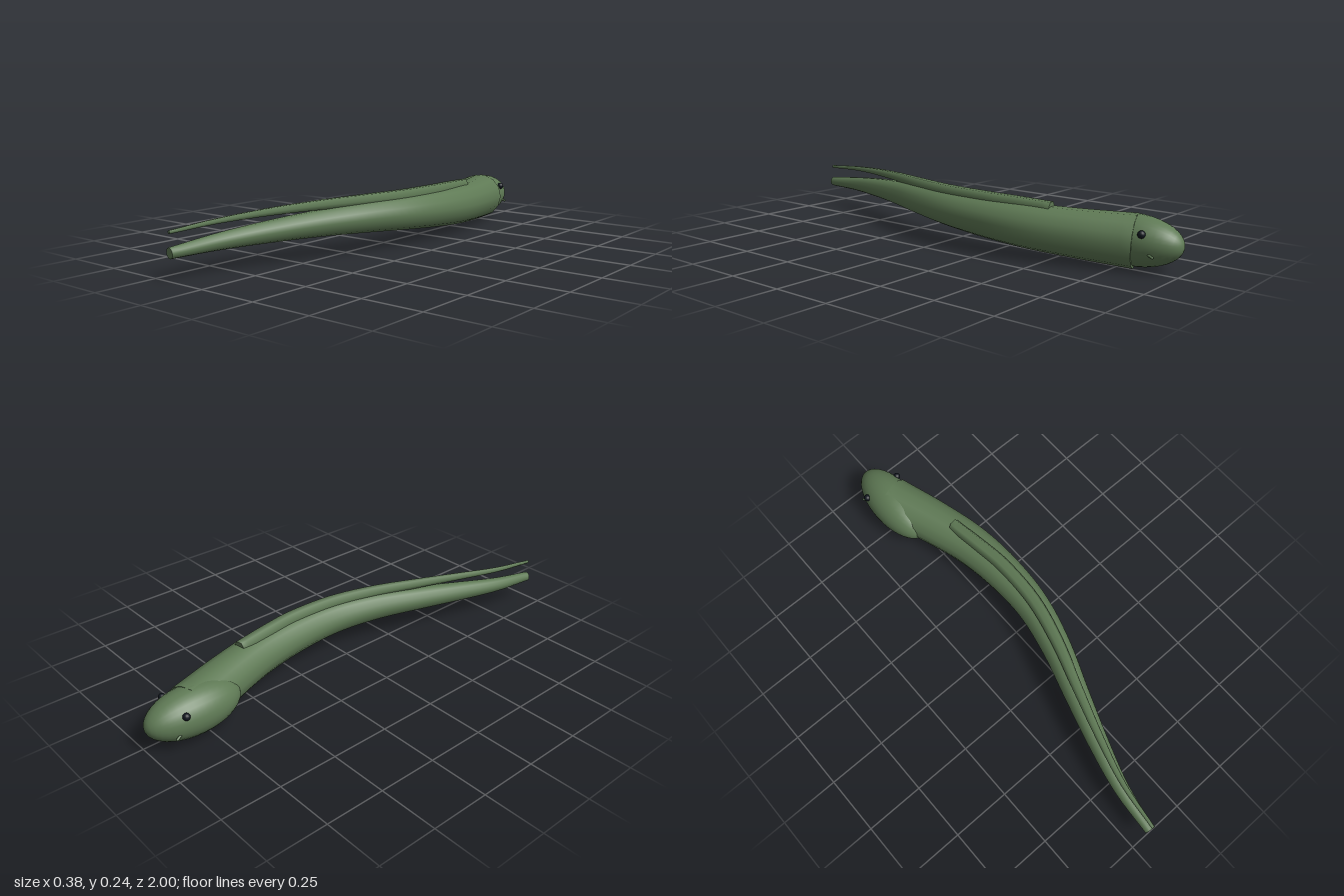
import * as THREE from 'three';

const skin = new THREE.MeshStandardMaterial({ color: 0x5f7a55 });
const eyeMat = new THREE.MeshStandardMaterial({ color: 0x10161e });

// Tapered sweep with capped ends; stations are [x, y, z, radius]
function sweep(stations, sides, steps) {
  const path = new THREE.CatmullRomCurve3(stations.map(([x, y, z]) => new THREE.Vector3(x, y, z)), false, 'catmullrom');
  const radii = new THREE.CatmullRomCurve3(stations.map(s => new THREE.Vector3(s[3], 0, 0)), false, 'catmullrom');
  const up = new THREE.Vector3(0, 1, 0);
  const pos = [], index = [];
  const ring = (t) => {
    const p = path.getPoint(t), r = radii.getPoint(t).x, tan = path.getTangent(t);
    const side = up.clone().cross(tan).normalize();
    const top = tan.clone().cross(side);
    for (let j = 0; j < sides; j++) {
      const a = j / sides * Math.PI * 2;
      const v = p.clone().addScaledVector(side, r * Math.cos(a)).addScaledVector(top, r * Math.sin(a));
      pos.push(v.x, v.y, v.z);
    }
  };
  for (let i = 0; i <= steps; i++) ring(i / steps);
  for (let i = 0; i < steps; i++) {
    for (let j = 0; j < sides; j++) {
      const k = (j + 1) % sides;
      const a = i * sides + j, b = i * sides + k;
      index.push(a, b, b + sides, a, b + sides, a + sides);
    }
  }
  // Caps have their own vertices so their rims stay sharp
  for (const t of [0, 1]) {
    const base = pos.length / 3;
    ring(t);
    for (let j = 1; j < sides - 1; j++) {
      if (t) index.push(base, base + j, base + j + 1);
      else index.push(base, base + j + 1, base + j);
    }
  }
  const geo = new THREE.BufferGeometry();
  geo.setAttribute('position', new THREE.Float32BufferAttribute(pos, 3));
  geo.setIndex(index);
  geo.computeVertexNormals();
  return geo;
}

export function createModel() {
  const model = new THREE.Group();
  model.name = 'eel';
  const add = (name, geo, mat, parent = model) => {
    const mesh = new THREE.Mesh(geo, mat);
    mesh.name = name;
    parent.add(mesh);
    return mesh;
  };

  // Long body, curving in an S and tapering to the tail
  add('body', sweep([
    [-0.03, 0.107, -0.81, 0.105], [0.04, 0.117, -0.6, 0.096], [0.09, 0.127, -0.4, 0.089],
    [0.108, 0.137, -0.2, 0.081], [0.098, 0.145, 0, 0.072], [0.05, 0.148, 0.2, 0.063],
    [-0.02, 0.143, 0.4, 0.053], [-0.087, 0.133, 0.6, 0.043], [-0.143, 0.12, 0.8, 0.032],
    [-0.17, 0.107, 0.997, 0.021]], 14, 48), skin);

  // Thin ridge fin along the back, rising free of the body at the tail
  add('dorsalFin', sweep([
    [0.072, 0.206, -0.5, 0.028], [0.093, 0.211, -0.35, 0.03], [0.108, 0.215, -0.2, 0.03],
    [0.098, 0.217, 0, 0.029], [0.05, 0.218, 0.2, 0.026], [-0.02, 0.216, 0.4, 0.021],
    [-0.087, 0.209, 0.6, 0.016], [-0.143, 0.197, 0.8, 0.011], [-0.168, 0.183, 0.998, 0.007]], 6, 40), skin);

  // Egg-shaped head
  const head = new THREE.Group();
  head.name = 'head';
  head.position.set(-0.035, 0.11, -0.795);
  model.add(head);
  const skull = add('skull', new THREE.SphereGeometry(1, 28, 20).rotateX(Math.PI / 2), skin, head);
  skull.scale.set(0.099, 0.1, 0.205);

  for (const [side, s] of [['left', 1], ['right', -1]]) {
    const eye = add(side + 'Eye', new THREE.SphereGeometry(0.015, 14, 10), eyeMat, head);
    eye.position.set(s * 0.083, 0.045, -0.078);

    // Short slit at the corner of the mouth
    const mouth = add(side + 'MouthCorner', new THREE.CapsuleGeometry(0.005, 0.022, 4, 8), skin, head);
    mouth.position.set(s * 0.08, -0.031, -0.115);
    mouth.rotation.set(Math.PI / 2 - 0.3, 0, s * 0.35);
  }
  return model;
}
